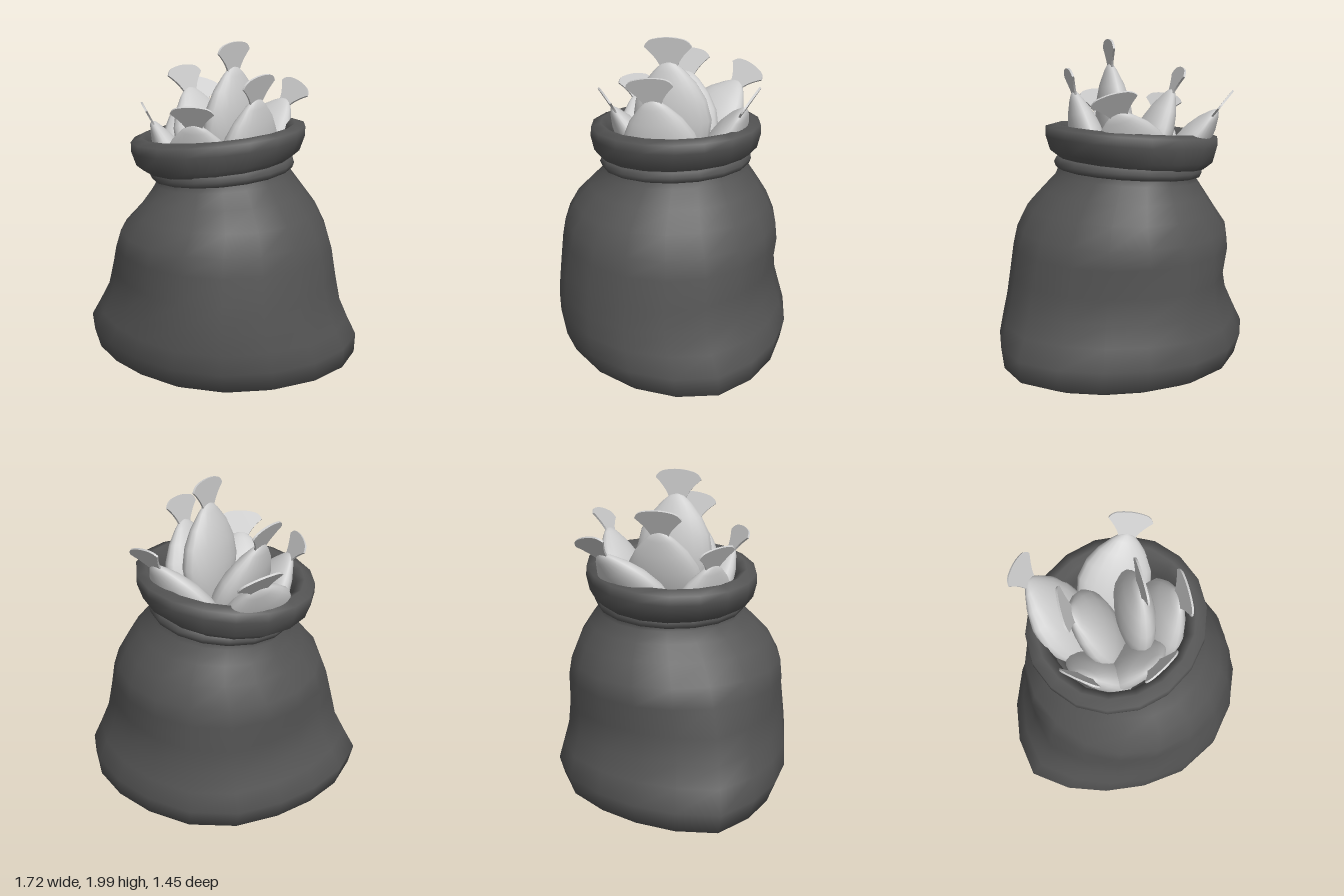
import * as THREE from 'three';

const SIDES = 18;

// How far each quadrant is drawn in between the main axes
function pinch(a) {
  const c = Math.cos(a), s = Math.sin(a);
  const amount = c < 0 ? 0.09 : s < 0 ? 0.06 : 0.015;
  return amount * Math.abs(2 * s * c);
}

// Closed loft through rounded rings: [y, xMin, xMax, zMin, zMax, tilt, pinch]
function loft(rows) {
  const pos = [], idx = [];
  rows.forEach(([y, x0, x1, z0, z1, tilt, p]) => {
    for (let i = 0; i < SIDES; i++) {
      const a = (i / SIDES) * Math.PI * 2;
      const r = 1 - p * pinch(a);
      const x = (x0 + x1) / 2 + ((x1 - x0) / 2) * Math.cos(a) * r;
      const z = (z0 + z1) / 2 + ((z1 - z0) / 2) * Math.sin(a) * 1.015 * r;
      pos.push(x, y + tilt * x, z);
    }
  });
  for (let j = 0; j < rows.length - 1; j++) {
    for (let i = 0; i < SIDES; i++) {
      const k = (i + 1) % SIDES;
      const a = j * SIDES + i, b = j * SIDES + k;
      const c = b + SIDES, d = a + SIDES;
      idx.push(a, d, b, d, c, b);
    }
  }
  const geo = new THREE.BufferGeometry();
  geo.setAttribute('position', new THREE.Float32BufferAttribute(pos, 3));
  geo.setIndex(idx);
  geo.computeVertexNormals();
  return geo;
}

// Base, belly and neck rings, then the rolled lip and lining as offsets from the neck
function sackGeometry() {
  const belly = [
    [0.085, -0.83, 0.85, -0.7, 0.68],
    [0.21, -0.86, 0.855, -0.735, 0.73],
    [0.33, -0.79, 0.8, -0.7, 0.735],
    [0.45, -0.725, 0.75, -0.665, 0.73],
    [0.6, -0.69, 0.72, -0.65, 0.715],
  ].map((row) => [...row, 0, 1]);
  const shoulder = [
    [0.77, -0.65, 0.69, -0.64, 0.68, 0, 0.2],
    [0.88, -0.6, 0.655, -0.615, 0.655, 0, -0.2],
    [1.0, -0.495, 0.585, -0.56, 0.595, 0.01, -0.4],
    [1.1, -0.43, 0.5, -0.5, 0.5, 0.03, -0.4],
    [1.18, -0.395, 0.43, -0.45, 0.42, 0.07, -0.2],
    [1.25, -0.39, 0.4, -0.44, 0.4, 0.1, 0],
  ];
  const lip = [
    [1.265, 0.03, 0.02], [1.31, 0.1, 0.065], [1.4, 0.132, 0.083], [1.455, 0.132, 0.078],
    [1.475, 0.07, 0.022], [1.45, 0.025, -0.02], [1.36, 0, -0.05], [1.1, -0.04, -0.08],
  ].map(([y, dx, dz]) => [y, -0.415 - dx, 0.375 + dx, -0.44 - dz, 0.39 + dz, 0.1, -0.2]);
  return loft([
    [0.01, 0, 0, 0, 0, 0, 0],
    [0.012, -0.5, 0.5, -0.42, 0.42, 0, 1],
    [0.03, -0.72, 0.74, -0.6, 0.58, 0, 1],
    ...belly, ...shoulder, ...lip,
    [1.09, 0, 0, 0, 0, 0, 0],
  ]);
}

// Fish geometry hangs down from the tail tip at the origin
function fishBody() {
  const profile = [
    [0, -0.88], [0.08, -0.85], [0.155, -0.75], [0.215, -0.61], [0.235, -0.49],
    [0.21, -0.37], [0.155, -0.27], [0.085, -0.19], [0.045, -0.155], [0, -0.14],
  ].map(([r, y]) => new THREE.Vector2(r, y));
  return new THREE.LatheGeometry(profile, 20).scale(1, 1, 0.45);
}

function fishTail() {
  const s = new THREE.Shape();
  s.moveTo(-0.045, -0.19);
  s.quadraticCurveTo(-0.055, -0.13, -0.138, -0.055);
  s.quadraticCurveTo(-0.125, -0.02, -0.085, -0.01);
  s.quadraticCurveTo(0, 0.01, 0.085, -0.01);
  s.quadraticCurveTo(0.125, -0.02, 0.138, -0.055);
  s.quadraticCurveTo(0.055, -0.13, 0.045, -0.19);
  const geo = new THREE.ExtrudeGeometry(s, { depth: 0.012, bevelEnabled: false, curveSegments: 6 });
  return geo.translate(0, 0, -0.006);
}

export function createModel() {
  const model = new THREE.Group();
  const cloth = new THREE.MeshStandardMaterial({ color: 0x555555 });
  const skin = new THREE.MeshStandardMaterial({ color: 0xcccccc });

  const sack = new THREE.Mesh(sackGeometry(), cloth);
  sack.name = 'sack';
  model.add(sack);

  // Cord tied around the neck
  const cordGeo = new THREE.TorusGeometry(0.4, 0.042, 8, SIDES).rotateX(Math.PI / 2);
  cordGeo.scale(1, 1, 1.04).rotateZ(0.09).translate(0.005, 1.245, -0.02);
  const cord = new THREE.Mesh(cordGeo, cloth);
  cord.name = 'neckCord';
  model.add(cord);

  // Fish: tail tip, point on the body axis, direction of the broad side, scale
  const bodyGeo = fishBody(), tailGeo = fishTail();
  const catchList = [
    [[0.09, 2.0, 0.06], [0.075, 1.5, 0.025], [0.5, 0, -0.86], 1],
    [[-0.24, 1.7, -0.6], [-0.21, 1.37, -0.31], [0.24, -0.05, -0.12], 0.95],
    [[-0.28, 1.83, -0.19], [-0.125, 1.42, -0.1], [0.55, 0, -0.83], 1],
    [[-0.09, 1.67, 0.41], [-0.09, 1.35, 0.22], [1, 0, 0], 0.92],
    [[0.27, 1.83, 0.23], [0.195, 1.4, 0.13], [0.49, 0, -0.87], 1],
    [[0.435, 1.73, -0.335], [0.21, 1.39, -0.25], [0.19, -0.07, 0.19], 0.95],
    [[-0.46, 1.64, 0.11], [-0.28, 1.3, 0.08], [0.35, 0, 0.94], 0.9],
  ];
  catchList.forEach(([tip, mid, wide, scale], i) => {
    const top = new THREE.Vector3(...tip);
    const up = top.clone().sub(new THREE.Vector3(...mid)).normalize();
    const thin = new THREE.Vector3(...wide).cross(up).normalize();
    const side = up.clone().cross(thin);
    const fish = new THREE.Group();
    fish.name = `fish${i + 1}`;
    const body = new THREE.Mesh(bodyGeo, skin);
    body.name = 'fishBody';
    const tail = new THREE.Mesh(tailGeo, skin);
    tail.name = 'fishTail';
    fish.add(body, tail);
    fish.quaternion.setFromRotationMatrix(new THREE.Matrix4().makeBasis(side, up, thin));
    fish.position.copy(top);
    fish.scale.setScalar(scale);
    model.add(fish);
  });

  return model;
}
